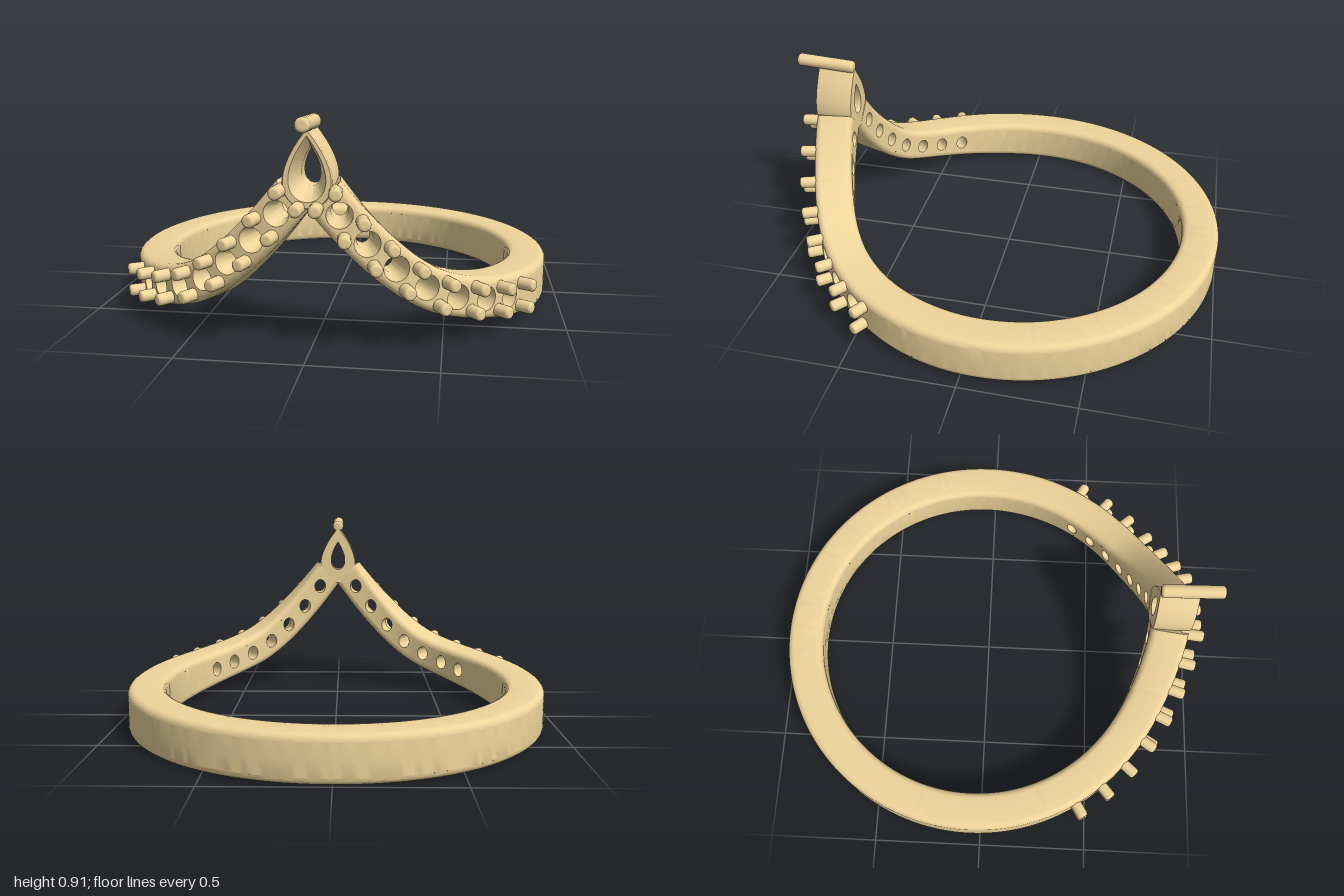
import * as THREE from 'three';
import { mergeGeometries, mergeVertices, toCreasedNormals } from 'three/addons/utils/BufferGeometryUtils.js';

const RO = 0.95, RI = 0.78, ZC = -0.05; // outer and inner radius, ring centre
const FILLET = 0.03, PITCH = 0.15, FIRST = 0.015, HOLES = 7;
const gold = new THREE.MeshStandardMaterial({ color: 0xefd59b });
const { lerp, smoothstep } = THREE.MathUtils;

// Centreline of one half, unrolled: distance round the ring, height
const half = new THREE.CatmullRomCurve3([
  [0.06, 0.61], [0.169, 0.488], [0.283, 0.378], [0.4, 0.286], [0.52, 0.22], [0.649, 0.18],
  [0.795, 0.152], [0.972, 0.13], [1.25, 0.11], [1.6, 0.101], [2.2, 0.098], [Math.PI * RO, 0.098],
].map(([s, y]) => new THREE.Vector3(s, y, 0)));
half.arcLengthDivisions = 600;
const LEN = half.getLength();

// Frame at u: 0..1 is the left half, 1..2 the mirrored right half
function frame(u) {
  const m = u > 1, v = Math.min(1, Math.max(0, m ? 2 - u : u));
  const p = half.getPointAt(v), t = half.getTangentAt(v);
  const h = lerp(0.084, 0.098, smoothstep(p.x, 0.6, 1.3));
  return m ? { s: 2 * Math.PI * RO - p.x, y: p.y, ns: t.y, ny: t.x, h }
    : { s: p.x, y: p.y, ns: -t.y, ny: t.x, h };
}

// Point on the ring: w runs across the band, r is the radius
function onRing(f, w, r) {
  const a = (f.s + f.ns * w) / RO;
  return new THREE.Vector3(r * Math.sin(a), f.y + f.ny * w, r * Math.cos(a) + ZC);
}

// Grid surface from f(a, b); it faces along da x db
function grid(f, na, nb, flip = false) {
  const pos = [], idx = [];
  for (let i = 0; i <= na; i++) for (let j = 0; j <= nb; j++) pos.push(...f(i / na, j / nb).toArray());
  for (let i = 0; i < na; i++) for (let j = 0; j < nb; j++) {
    const a = i * (nb + 1) + j, b = a + nb + 1;
    if (flip) idx.push(a, a + 1, b, b, a + 1, b + 1);
    else idx.push(a, b, a + 1, b, b + 1, a + 1);
  }
  const g = new THREE.BufferGeometry();
  g.setAttribute('position', new THREE.Float32BufferAttribute(pos, 3));
  g.setIndex(idx);
  return g;
}

function solid(parts) {
  return toCreasedNormals(mergeVertices(mergeGeometries(parts), 1e-5), 0.6);
}

function buildBand() {
  const parts = [];
  // Rounded edge from the outer face round to the inner face
  const rim = [];
  for (let k = 0; k <= 5; k++) {
    const a = k / 5 * Math.PI / 2;
    rim.push([FILLET * (Math.sin(a) - 1), RO - FILLET * (1 - Math.cos(a))]);
  }
  for (let k = 5; k >= 0; k--) rim.push([rim[k][0], RO + RI - rim[k][1]]);
  const n = rim.length - 1;
  const edge = (u, b, side) => {
    const f = frame(u), [w, r] = rim[Math.round(b * n)];
    return onRing(f, side * (f.h + w), r);
  };
  parts.push(grid((a, b) => edge(a * 2, b, 1), 320, n));
  parts.push(grid((a, b) => edge(a * 2, b, -1), 320, n, true));

  // End caps behind the bezel
  for (const u of [0, 2])
    parts.push(grid((a, b) => edge(u, b, -1).lerp(edge(u, b, 1), a), 1, n, u === 2));

  // Plain stretches of the outer and inner faces
  const plain = (u0, u1, steps) => {
    for (const r of [RO, RI]) parts.push(grid((a, b) => {
      const f = frame(lerp(u0, u1, a));
      return onRing(f, lerp(-1, 1, b) * (f.h - FILLET), r);
    }, steps, 2, r === RI));
  };
  const uA = FIRST / LEN, uB = (FIRST + HOLES * PITCH) / LEN;
  plain(0, uA, 1);
  plain(uB, 2 - uB, 160);
  plain(2 - uA, 2, 1);

  // Square cells, each pierced by a countersunk stone seat
  const SEAT = 0.05, BORE = 0.036;
  const profile = [[BORE, RI], [BORE, 0.87], [SEAT, 0.925], [SEAT, RO]];
  for (let k = 0; k < 2 * HOLES; k++) {
    const d = (FIRST + (k % HOLES + 0.5) * PITCH) / LEN, uc = k < HOLES ? d : 2 - d;
    const at = (radius, t, b, r) => {
      const a = b * 2 * Math.PI, c = Math.cos(a), s = Math.sin(a), q = 1 / Math.max(Math.abs(c), Math.abs(s));
      const f = frame(uc + lerp(radius * c, PITCH / 2 * c * q, t) / LEN);
      return onRing(f, lerp(radius * s, (f.h - FILLET) * s * q, t), r);
    };
    parts.push(grid((t, b) => at(SEAT, t, b, RO), 3, 32));
    parts.push(grid((t, b) => at(BORE, t, b, RI), 3, 32, true));
    parts.push(grid((a, b) => {
      const [q, r] = profile[Math.round(a * 3)];
      return at(q, 0, b, r);
    }, 3, 32));
  }
  return solid(parts);
}

// Teardrop collet with a tapering opening: half width, centre y, half height, z
function buildBezel() {
  const loop = [
    [0.095, 0.712, 0.15, 0.73], [0.095, 0.712, 0.15, 0.893], [0.09, 0.712, 0.145, 0.902],
    [0.07, 0.712, 0.122, 0.902], [0.037, 0.71, 0.076, 0.81], [0.037, 0.71, 0.076, 0.73],
    [0.095, 0.712, 0.15, 0.73],
  ];
  return solid([grid((a, b) => {
    const [w, y, h, z] = loop[Math.round(a * 6)], t = b * 2 * Math.PI;
    return new THREE.Vector3(w / 0.77 * Math.sin(t) * Math.sin(t / 2), y + h * Math.cos(t), z);
  }, 6, 64)]);
}

// Round pin with softened ends between two points
function pin(name, from, to, r) {
  const len = from.distanceTo(to), e = r * 0.5, pts = [new THREE.Vector2(0, 0)];
  for (let k = 0; k <= 4; k++) {
    const a = k / 4 * Math.PI / 2;
    pts.push(new THREE.Vector2(r - e + e * Math.sin(a), e - e * Math.cos(a)));
  }
  for (let k = 5; k >= 0; k--) pts.push(new THREE.Vector2(pts[k].x, len - pts[k].y));
  const mesh = new THREE.Mesh(new THREE.LatheGeometry(pts, 18), gold);
  mesh.name = name;
  mesh.position.copy(from);
  mesh.quaternion.setFromUnitVectors(new THREE.Vector3(0, 1, 0), to.clone().sub(from).normalize());
  return mesh;
}

export function createModel() {
  const model = new THREE.Group();
  model.name = 'ring';

  const band = new THREE.Mesh(buildBand(), gold);
  band.name = 'band';
  const bezel = new THREE.Mesh(buildBezel(), gold);
  bezel.name = 'teardropBezel';
  model.add(band, bezel);

  // Pairs of prongs between the stone seats, on both arms
  const prongs = new THREE.Group();
  prongs.name = 'prongs';
  for (let k = 0; k <= HOLES; k++) {
    const u = (FIRST + k * PITCH) / LEN;
    for (const v of [u, 2 - u]) for (const w of [-0.047, 0.047]) {
      const f = frame(v);
      prongs.add(pin('prong', onRing(f, w, 0.91), onRing(f, w, 1.017), 0.026));
    }
  }
  model.add(prongs);

  // Long prong over the tip of the bezel
  model.add(pin('tipProng', new THREE.Vector3(0, 0.87, 0.73), new THREE.Vector3(0, 0.885, 1), 0.029));
  return model;
}
